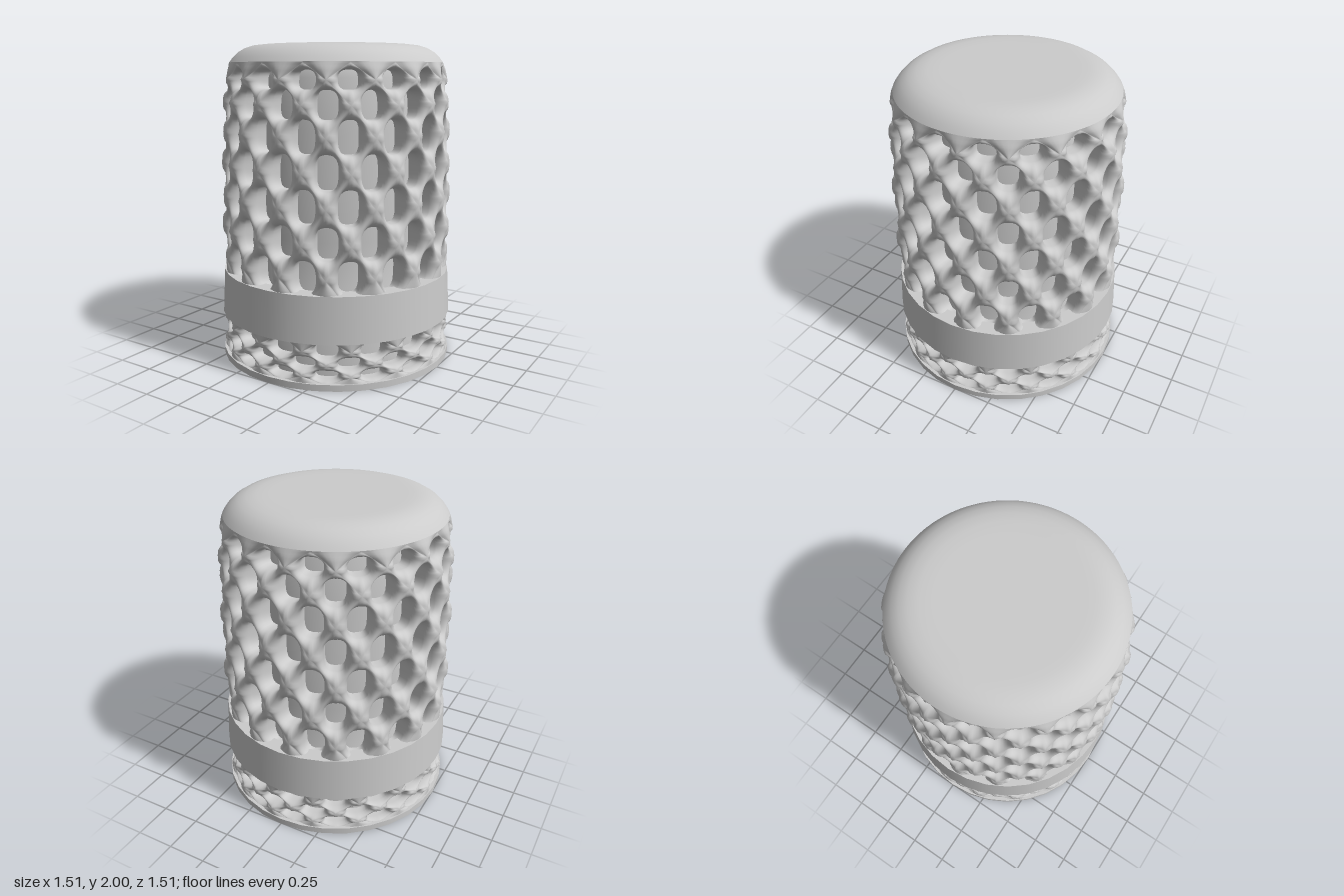
import * as THREE from 'three';
import { mergeVertices } from 'three/addons/utils/BufferGeometryUtils.js';

const material = new THREE.MeshStandardMaterial({ color: 0xcccccc });
const COLUMNS = 16;
const HALF = Math.PI / COLUMNS; // half the angular width of one cell
const STEPS = 8;

// radius of the outer surface as [height, radius] pairs
const UPPER = [[0.4, 0.715], [0.5, 0.72], [0.57, 0.734], [0.85, 0.746], [1.2, 0.74], [1.5, 0.731], [1.65, 0.723], [1.8, 0.706], [1.85, 0.694], [1.89, 0.677]];
const LOWER = [[0, 0.743], [0.08, 0.748], [0.15, 0.745], [0.31, 0.745]];

function radiusAt(table, y) {
  for (let i = 1; i < table.length; i++) {
    const [y0, r0] = table[i - 1], [y1, r1] = table[i];
    if (y <= y1) return r0 + (r1 - r0) * (y - y0) / (y1 - y0);
  }
  return table[table.length - 1][1];
}

function addMesh(group, name, geometry) {
  const mesh = new THREE.Mesh(geometry, material);
  mesh.name = name;
  group.add(mesh);
}

// turned part; sharp doubles the points so that corners stay crisp
function turned(points, segments, sharp) {
  const profile = [];
  for (const [r, y] of points) {
    profile.push(new THREE.Vector2(r, y));
    if (sharp) profile.push(new THREE.Vector2(r, y));
  }
  return new THREE.LatheGeometry(profile, segments);
}

// Staggered diamond cells, each with a hole that flares to a neck and then runs straight in.
// rows: [centre height, half height of hole]; bottom and top close the pattern.
function lattice(rows, bottom, top, table, phase, neck, depth) {
  const position = [], index = [];
  const sag = neck * 0.33; // struts dip between the nodes
  const put = (angle, y, drop) => {
    const r = radiusAt(table, y) - drop;
    position.push(r * Math.sin(angle), y, r * Math.cos(angle));
  };

  function cell(angle, y, up, down, holeHeight) {
    const start = position.length / 3, around = 4 * STEPS, flare = 8, rings = flare + 2;
    for (let j = 0; j <= rings; j++) {
      // ring 0 is the diamond, the next ones curve to the neck, the last two are the straight wall
      const t = Math.min(1, Math.max(0, j - 1) / (flare - 1)) * Math.PI / 2;
      const inward = Math.max(0, j - flare) / 2;
      for (let k = 0; k < around; k++) {
        const q = k / STEPS;
        const u = Math.abs(q - 2) - 1;
        const v = q < 1 ? q : q < 3 ? 2 - q : q - 4;
        const middle = 4 * Math.abs(u * v);
        const land = 0.05 + 0.2 * (1 - middle);
        const s = j === 0 ? 0 : land + (1 - land) * Math.sin(t);
        const drop = sag * middle + (neck - sag * middle) * (1 - Math.cos(t)) + (depth - neck) * inward;
        const n = 2.8 + inward;
        const round = (Math.abs(u) ** n + Math.abs(v) ** n) ** (-1 / n);
        const edgeY = v * (v > 0 ? up : down);
        put(angle + HALF * u * (1 - s + s * round * 0.52),
          y + edgeY * (1 - s) + v * round * holeHeight * s, drop);
      }
    }
    for (let j = 0; j < rings; j++) for (let k = 0; k < around; k++) {
      const a = start + j * around + k, b = start + j * around + (k + 1) % around;
      index.push(a, b, b + around, a, b + around, a + around);
    }
  }

  // solid triangle closing the zigzag edge of the pattern
  function filler(angle, tipY, edgeY) {
    const start = position.length / 3, w = STEPS + 1, flip = edgeY < tipY;
    for (let j = 0; j <= STEPS; j++) for (let i = 0; i <= STEPS; i++) {
      const f = j / STEPS, x = 2 * i / STEPS - 1;
      put(angle + HALF * x * f, tipY + (edgeY - tipY) * f, sag * 4 * f * (1 - f) * x * x);
    }
    for (let j = 0; j < STEPS; j++) for (let i = 0; i < STEPS; i++) {
      const a = start + j * w + i, b = a + 1, c = b + w, d = a + w;
      if (flip) index.push(a, c, b, a, d, c);
      else index.push(a, b, c, a, c, d);
    }
  }

  const last = rows.length - 1;
  for (let col = 0; col < COLUMNS; col++) {
    const turn = col * 2 * HALF;
    rows.forEach(([y, holeHeight], i) => {
      const above = i < last ? rows[i + 1][0] : top;
      const below = i > 0 ? rows[i - 1][0] : bottom;
      cell(turn + phase + i * HALF, y, above - y, y - below, holeHeight);
    });
    filler(turn + phase - HALF, rows[0][0], bottom);
    filler(turn + phase + (last + 1) * HALF, rows[last][0], top);
  }
  const geometry = new THREE.BufferGeometry();
  geometry.setAttribute('position', new THREE.Float32BufferAttribute(position, 3));
  geometry.setIndex(index);
  const welded = mergeVertices(geometry, 1e-4);
  welded.computeVertexNormals();
  return welded;
}

export function createModel() {
  const group = new THREE.Group();
  group.name = 'perforatedCap';

  // open lattices above and below the band
  addMesh(group, 'upperLattice', lattice(
    [[0.66, 0.1], [0.86, 0.1], [1.07, 0.105], [1.27, 0.105], [1.47, 0.1], [1.65, 0.085], [1.79, 0.056]],
    0.46, 1.89, UPPER, -HALF / 2, 0.07, 0.155));
  addMesh(group, 'lowerLattice', lattice(
    [[0.08, 0.03], [0.15, 0.038], [0.23, 0.05]], 0.02, 0.31, LOWER, HALF / 2, 0.055, 0.105));

  // rounded top
  addMesh(group, 'top', turned(
    [[0.677, 1.89], [0.655, 1.92], [0.622, 1.952], [0.58, 1.977], [0.53, 1.993], [0.47, 2], [0.4, 2], [0, 2]], 128));

  // plain band and foot ring
  addMesh(group, 'band', turned([[0.64, 0.285], [0.755, 0.285], [0.74, 0.57], [0.64, 0.57]], 32, true));
  addMesh(group, 'footRing', turned([[0.63, 0], [0.755, 0], [0.755, 0.04], [0.64, 0.04]], 32, true));

  // solid liner seen through the holes
  const liner = UPPER.map(([y, r]) => [r - 0.14, y]).slice(2);
  addMesh(group, 'liner', turned([[0.65, 0.02], [0.65, 0.5], ...liner], 64));

  // stepped bore open at the bottom
  addMesh(group, 'bore', turned(
    [[0, 1.8], [0.49, 1.8], [0.53, 1.76], [0.53, 0.6], [0.54, 0.55], [0.57, 0.51], [0.625, 0.5]], 64));
  addMesh(group, 'boreMouth', turned([[0.625, 0.5], [0.63, 0.32], [0.63, 0]], 64, true));
  return group;
}
